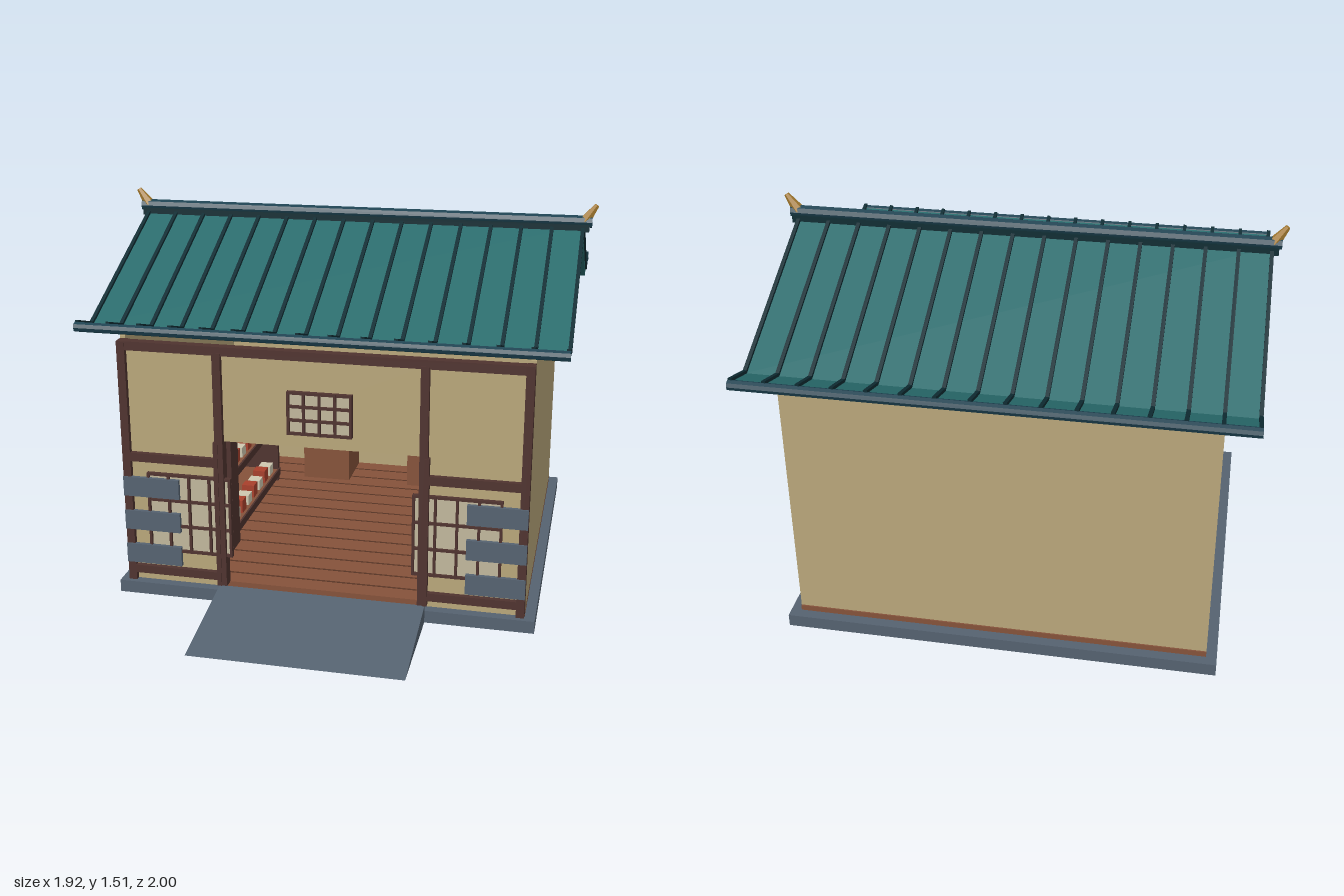
import * as THREE from 'three';

const mat = (color) => new THREE.MeshStandardMaterial({ color, flatShading: true });
const M = {
  wall: mat(0xb8a67a), wood: mat(0x4f332f), floor: mat(0x85523a), seam: mat(0x5a3626),
  stone: mat(0x556270), roof: mat(0x286a6b), trim: mat(0x0f2c33), ridge: mat(0x1c4150),
  pane: mat(0xc0b79c), gold: mat(0xa87d30), red: mat(0xa8402c), white: mat(0xcfc7b0),
};
M.wall.side = THREE.DoubleSide;

export function createModel() {
  const root = new THREE.Group();
  root.name = 'shopHouse';

  const add = (name, geo, m, parent = root) => {
    const mesh = new THREE.Mesh(geo, m);
    mesh.name = name;
    parent.add(mesh);
    return mesh;
  };
  // Box given by its limits on each axis
  const box = (name, m, x0, x1, y0, y1, z0, z1, parent = root) => {
    const g = new THREE.BoxGeometry(Math.abs(x1 - x0), y1 - y0, z1 - z0);
    g.translate((x0 + x1) / 2, (y0 + y1) / 2, (z0 + z1) / 2);
    return add(name, g, m, parent);
  };
  // Outline of [z, y] points extruded along x
  const prism = (name, m, pts, x0, x1, parent = root) => {
    const shape = new THREE.Shape(pts.map(([z, y]) => new THREE.Vector2(-z, y)));
    const g = new THREE.ExtrudeGeometry(shape, { depth: x1 - x0, bevelEnabled: false });
    g.rotateY(Math.PI / 2).translate(x0, 0, 0);
    return add(name, g, m, parent);
  };
  // Pale window pane with a grid of bars
  const lattice = (name, x0, x1, y0, y1, z, cols, rows) => {
    const g = new THREE.Group();
    g.name = name;
    root.add(g);
    const t = 0.005;
    box('windowPane', M.pane, x0, x1, y0, y1, z - 0.006, z, g);
    for (let i = 0; i <= cols; i++) {
      const x = x0 + ((x1 - x0) * i) / cols;
      box('windowBar', M.wood, x - t, x + t, y0 - t, y1 + t, z - 0.008, z + 0.012, g);
    }
    for (let i = 0; i <= rows; i++) {
      const y = y0 + ((y1 - y0) * i) / rows;
      box('windowBar', M.wood, x0, x1, y - t, y + t, z - 0.008, z + 0.011, g);
    }
  };

  // Base, floor and ramp
  box('base', M.stone, -0.83, 0.83, 0, 0.05, -0.9, 0.57);
  box('floor', M.floor, -0.79, 0.79, 0.05, 0.072, -0.86, 0.53);
  for (let z = -0.75; z < 0.53; z += 0.1)
    box('floorSeam', M.seam, -0.77, 0.77, 0.072, 0.0735, z - 0.004, z + 0.004);
  prism('ramp', M.stone, [[0.57, 0], [1, 0], [0.57, 0.072]], -0.41, 0.41);

  // Gable walls and back wall
  const gable = [[0.525, 0.07], [0.525, 1.065], [-0.165, 1.39], [-0.855, 1.065], [-0.855, 0.07]];
  prism('gableWall', M.wall, gable, -0.79, -0.77);
  prism('gableWall', M.wall, gable, 0.77, 0.79);
  box('backWall', M.wall, -0.77, 0.77, 0.07, 1.06, -0.855, -0.835);

  // Front: panel over the doorway, top beam and small window
  box('doorHeadPanel', M.wall, -0.4, 0.4, 0.675, 1.03, 0.535, 0.55);
  box('topBeam', M.wood, -0.79, 0.79, 1.02, 1.055, 0.53, 0.568);
  lattice('upperWindow', -0.12, 0.12, 0.735, 0.895, 0.562, 4, 3);

  for (const s of [-1, 1]) {
    // Posts, rails and side panel
    box('outerPost', M.wood, s * 0.758, s * 0.79, 0.06, 1.055, 0.525, 0.57);
    box('innerPost', M.wood, s * 0.38, s * 0.412, 0.07, 1.03, 0.525, 0.572);
    box('doorJamb', M.wood, s * 0.4, s * 0.418, 0.072, 0.675, 0.525, 0.576);
    box('frontPanel', M.wall, s * 0.395, s * 0.77, 0.06, 1.03, 0.535, 0.55);
    box('middleRail', M.wood, s * 0.4, s * 0.77, 0.57, 0.605, 0.53, 0.57);
    box('lowerRail', M.wood, s * 0.4, s * 0.77, 0.092, 0.125, 0.53, 0.57);
    lattice('sideWindow', Math.min(s * 0.69, s * 0.36), Math.max(s * 0.69, s * 0.36), 0.2, 0.52, 0.556, 4, 3);
    // Grey slats across the outer corner
    for (const y of [0.14, 0.283, 0.425])
      box('slat', M.stone, s * 0.563, s * 0.79, y, y + 0.08, 0.56, 0.576);

    // Two-tier cabinet against the back wall
    box('cabinetBase', M.floor, s * 0.14, s * 0.36, 0.072, 0.27, -0.83, -0.6);
    box('cabinetTop', M.wood, s * 0.135, s * 0.365, 0.27, 0.29, -0.83, -0.595);
    box('cabinetUpper', M.floor, s * 0.173, s * 0.327, 0.29, 0.428, -0.83, -0.66);
    box('cabinetBand', M.wood, s * 0.172, s * 0.328, 0.395, 0.41, -0.83, -0.657);

    // Wall shelf with rows of goods
    const shelf = new THREE.Group();
    shelf.name = 'wallShelf';
    root.add(shelf);
    for (const z of [-0.55, 0.23])
      box('shelfEnd', M.wood, s * 0.47, s * 0.76, 0.072, 0.58, z, z + 0.025, shelf);
    box('shelfFrontEnd', M.wood, s * 0.45, s * 0.48, 0.072, 0.58, 0.16, 0.255, shelf);
    for (const [row, y, inner] of [[0, 0.13, 0.47], [1, 0.32, 0.52], [2, 0.5, 0.57]]) {
      box('shelfBoard', M.floor, s * inner, s * 0.77, y - 0.02, y, -0.54, 0.24, shelf);
      box('shelfLip', M.wood, s * (inner - 0.008), s * inner, y - 0.03, y + 0.005, -0.54, 0.24, shelf);
      for (let i = 0; i < 8; i++) {
        const z = -0.49 + i * 0.088;
        const h = 0.045 + 0.012 * ((i + row) % 2);
        box('goods', (i + row) % 2 ? M.red : M.white, s * (inner + 0.015), s * (inner + 0.07), y, y + h, z, z + 0.055, shelf);
      }
    }
  }

  // Roof skin with upturned eaves; bands follow the same line
  const mid = -0.165;
  const line = [[-0.815, 1.14], [-0.685, 1.1], [0, 1.425], [0.685, 1.1], [0.815, 1.14]];
  const band = (lo, hi) => [
    ...line.map(([z, y]) => [z + mid, y + hi]),
    ...[...line].reverse().map(([z, y]) => [z + mid, y + lo]),
  ];
  prism('roof', M.roof, band(-0.033, 0), -0.905, 0.905);
  for (let i = 0; i < 16; i++) {
    const x = -0.905 + (1.81 * i) / 15;
    prism('roofRib', M.trim, band(-0.004, 0.012), x - 0.007, x + 0.007);
  }
  for (const s of [-1, 1]) {
    const eave = new THREE.CylinderGeometry(0.019, 0.019, 1.826, 8).rotateZ(Math.PI / 2);
    add('eaveBar', eave, M.ridge).position.set(0, 1.126, mid + s * 0.816);
  }

  // Ridge cap and horn finials
  box('ridgeBase', M.trim, -0.93, 0.93, 1.405, 1.435, mid - 0.03, mid + 0.03);
  const cap = new THREE.CylinderGeometry(0.024, 0.024, 1.88, 8).rotateZ(Math.PI / 2);
  add('ridgeCap', cap, M.ridge).position.set(0, 1.443, mid);
  for (const s of [-1, 1]) {
    const horn = add('ridgeHorn', new THREE.CylinderGeometry(0.01, 0.024, 0.078, 6), M.gold);
    horn.position.set(s * 0.933, 1.477, mid);
    horn.rotation.z = -s * 0.6;
  }
  return root;
}
